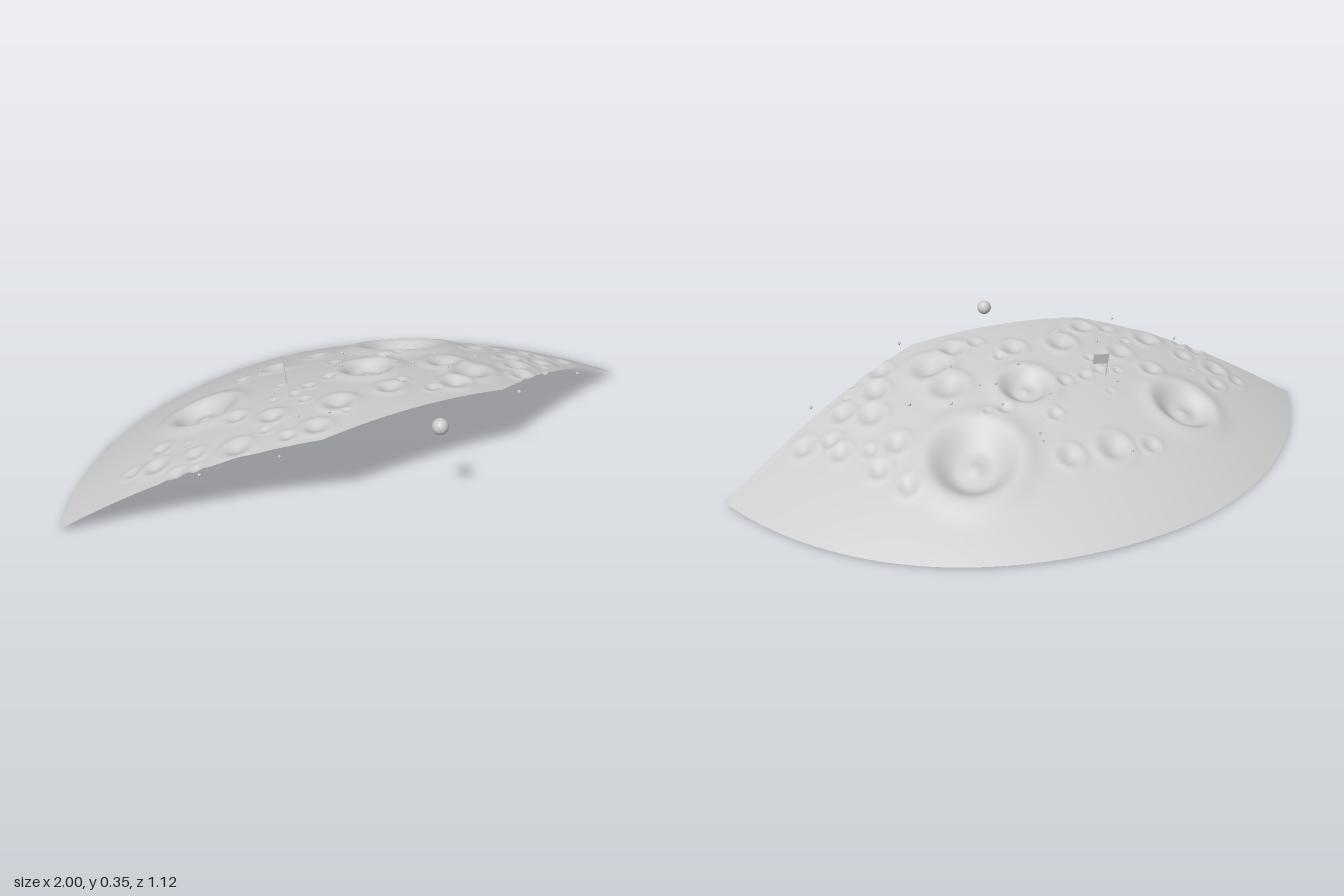
import * as THREE from 'three';

const APEX_Z = 0.534, OUTER = 1.094, TOP = 0.315, HALF = 1.152; // sector of a shallow dome
const S = (OUTER * OUTER + TOP * TOP) / (2 * TOP);

// x, z, rim radius
const CRATERS = [
  [0.28, -0.18, 0.155], [-0.47, -0.1, 0.115], [0.03, 0.045, 0.095],
  [0.265, 0.125, 0.07], [0.29, 0.24, 0.075], [0.48, 0.22, 0.05], [0.555, -0.095, 0.04],
  [0.48, -0.03, 0.045], [0.52, 0.12, 0.05], [0.6, 0.18, 0.045], [0.645, 0.03, 0.04],
  [0.74, 0.12, 0.045], [0.66, 0.09, 0.035], [0.49, -0.19, 0.04], [0.44, 0.31, 0.045],
  [0.19, 0.305, 0.05], [0, 0.24, 0.045], [0, -0.26, 0.045], [-0.15, -0.255, 0.06],
  [-0.275, -0.26, 0.035], [-0.17, 0.235, 0.055], [-0.285, 0.325, 0.045], [-0.37, 0.31, 0.03],
  [-0.355, 0.165, 0.045], [-0.5, 0.25, 0.05], [-0.6, 0.165, 0.035], [-0.675, 0.215, 0.035],
  [-0.7, 0.11, 0.045], [-0.655, 0.02, 0.035], [-0.76, 0.06, 0.03], [-0.43, 0.07, 0.04],
].map(([x, z, r]) => ({ x, z, r }));

let seed = 7;
const rand = () => (seed = (seed * 16807) % 2147483647) / 2147483647;

// Scattered small pits between the main craters
for (let i = 0; i < 45; i++) {
  const pit = { x: -0.7 + 1.4 * rand(), z: -0.1 + 0.45 * rand(), r: 0.013 + 0.017 * rand() };
  if (CRATERS.every(c => Math.hypot(c.x - pit.x, c.z - pit.z) > c.r + pit.r * 0.8)) CRATERS.push(pit);
}

// Bowl, raised rim and, on the biggest, a central mound
function craterHeight(c, x, z) {
  const t = Math.hypot(x - c.x, z - c.z) / c.r;
  if (t > 2) return 0;
  const big = c.r > 0.09;
  const depth = big ? 0.3 * c.r : 0.22 * c.r;
  const rim = 0.085 * c.r;
  if (t > 1) return rim * Math.exp(-(((t - 1) / 0.28) ** 2));
  const wall = THREE.MathUtils.smoothstep(t, big ? 0.35 : 0.05, 1);
  const mound = big ? 0.25 * depth * Math.exp(-((t / 0.16) ** 2)) : 0;
  return rim - (depth + rim) * (1 - wall) + mound;
}

function domeHeight(x, z) {
  const r = Math.hypot(x, z - APEX_Z);
  return TOP - S + Math.sqrt(S * S - r * r);
}

function groundHeight(x, z) {
  const r = Math.hypot(x, z - APEX_Z), a = Math.atan2(x, APEX_Z - z);
  let y = domeHeight(x, z) + 0.009 * Math.cos(Math.PI * a / HALF) ** 2 * (r / OUTER) ** 8;
  for (const c of CRATERS) y += craterHeight(c, x, z);
  return y;
}

// Fan-shaped patch of ground, truncated by a straight front edge
function groundGeometry(nu, nv) {
  const pos = [], index = [];
  for (let i = 0; i <= nu; i++) {
    const a = HALF * (2 * i / nu - 1);
    const inner = 0.134 / Math.cos(a);
    for (let j = 0; j <= nv; j++) {
      const r = inner + (OUTER - inner) * j / nv;
      const x = r * Math.sin(a), z = APEX_Z - r * Math.cos(a);
      pos.push(x, groundHeight(x, z), z);
      if (i < nu && j < nv) {
        const p = i * (nv + 1) + j, q = p + nv + 1;
        index.push(p, q, p + 1, q, q + 1, p + 1);
      }
    }
  }
  const g = new THREE.BufferGeometry();
  g.setAttribute('position', new THREE.Float32BufferAttribute(pos, 3));
  g.setIndex(index);
  g.computeVertexNormals();
  return g;
}

export function createModel() {
  const model = new THREE.Group();
  const grey = new THREE.MeshStandardMaterial({ color: 0xcccccc, side: THREE.DoubleSide });
  grey.name = 'light grey';
  const add = (geometry, name, parent = model) => {
    const mesh = new THREE.Mesh(geometry, grey);
    mesh.name = name;
    parent.add(mesh);
    return mesh;
  };

  add(groundGeometry(300, 150), 'crateredGround');

  // Small globe floating ahead of the ground
  add(new THREE.SphereGeometry(0.024, 32, 20), 'globe').position.set(0, 0.32, 0.534);

  // Leaning flag
  const flag = new THREE.Group();
  flag.name = 'flag';
  const foot = new THREE.Vector3(-0.238, 0.255, 0.015), tip = new THREE.Vector3(-0.24, 0.346, -0.003);
  const dir = tip.clone().sub(foot);
  const pole = add(new THREE.CylinderGeometry(0.0015, 0.0015, dir.length(), 8), 'flagPole', flag);
  pole.position.copy(foot).add(tip).multiplyScalar(0.5);
  pole.quaternion.setFromUnitVectors(new THREE.Vector3(0, 1, 0), dir.normalize());
  const cloth = add(new THREE.BoxGeometry(0.05, 0.037, 0.002), 'flagCloth', flag);
  cloth.position.set(-0.215, 0.325, 0.004);
  cloth.rotation.set(-0.19, -0.2, 0);
  model.add(flag);

  // Loose stones, a few just beyond the cut edges
  const stones = [
    [-0.63, 0.285], [-0.43, 0.39], [0.68, 0.28], [0.34, 0.43], [-0.3, 0.23], [-0.28, 0.01],
    [-0.2, -0.28], [0.06, -0.19], [0.06, -0.16], [0.12, 0.07], [0.17, 0.09], [0.02, 0.14],
    [0.23, 0.2], [-0.22, 0.28], [0.4, 0.1], [-0.03, -0.02], [0.13, -0.02], [0.28, 0.04],
  ];
  stones.forEach(([x, z], i) => {
    const stone = add(new THREE.IcosahedronGeometry(0.0045 + 0.002 * rand(), 0), 'stone' + (i + 1));
    const y = i < 4 ? domeHeight(x, z) : groundHeight(x, z);
    stone.position.set(x, y + 0.002, z);
    stone.rotation.set(rand() * 3, rand() * 3, 0);
  });

  return model;
}
